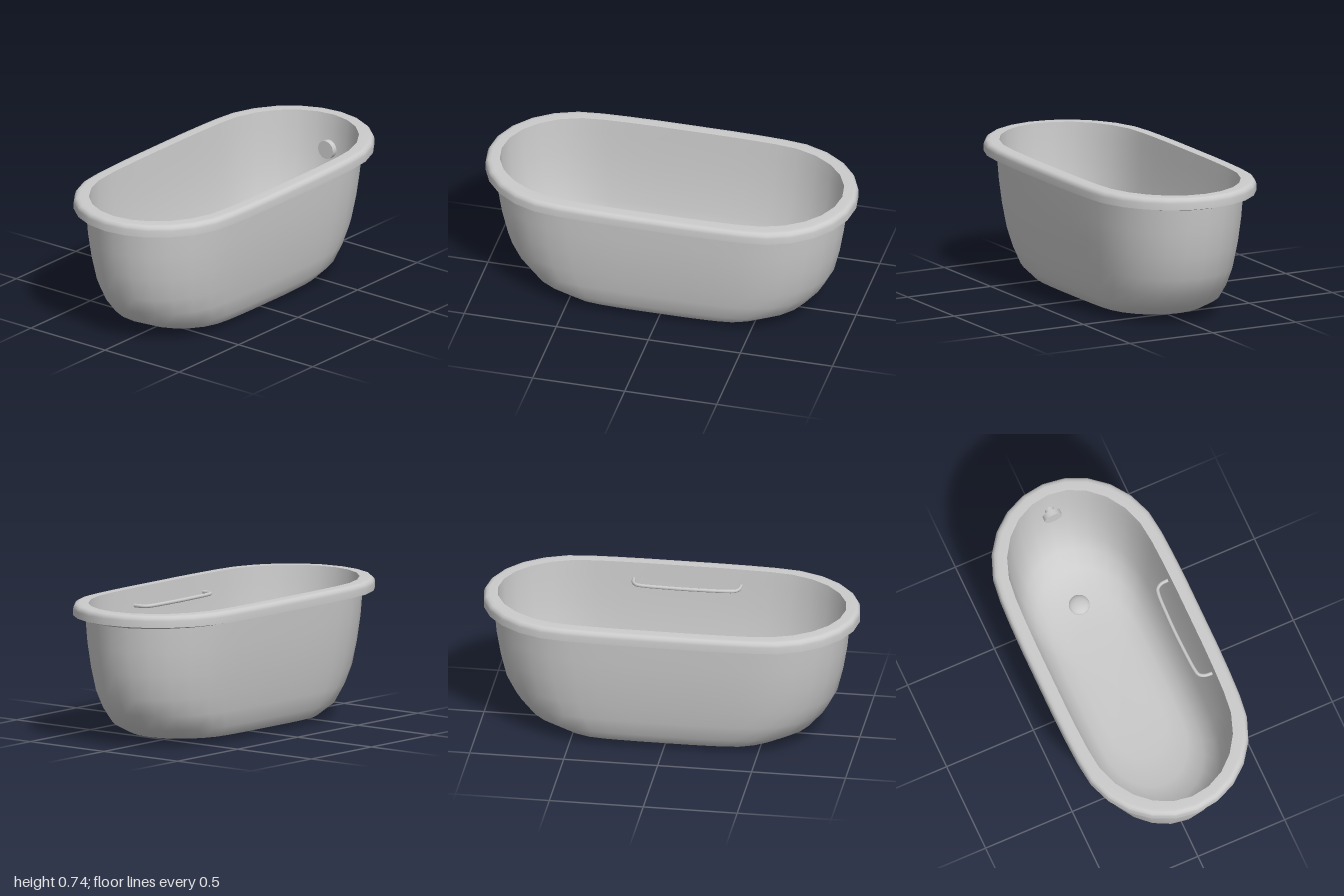
import * as THREE from 'three';

const material = new THREE.MeshStandardMaterial({ color: 0xcccccc });

// Quarter of the unit tub outline: round end, then a barely bowed side.
const quarter = [];
for (let i = 0; i <= 6; i++) {
  const t = (i / 6) * Math.PI / 2;
  quarter.push([0.5 + 0.5 * Math.cos(t), 0.98 * Math.sin(t)]);
}
quarter.push([0.36, 0.993], [0.2, 1], [0, 1]);

// Mirror the quarter into a closed loop running from +x towards +z.
const half = [...quarter, ...quarter.slice(0, -1).reverse().map(([x, z]) => [-x, z])];
const outline = [...half, ...half.slice(1, -1).reverse().map(([x, z]) => [x, -z])];

// Skin through outlines given as [half length, half width, height].
function loft(name, sections) {
  const n = outline.length;
  const positions = [];
  const index = [];
  sections.forEach(([a, b, y], i) => {
    outline.forEach(([x, z], j) => {
      positions.push(a * x, y, b * z);
      if (i === sections.length - 1) return;
      const p = i * n + j;
      const q = i * n + (j + 1) % n;
      index.push(p, p + n, q, q, p + n, q + n);
    });
  });
  const geometry = new THREE.BufferGeometry();
  geometry.setAttribute('position', new THREE.Float32BufferAttribute(positions, 3));
  geometry.setIndex(index);
  geometry.computeVertexNormals();
  return part(name, geometry);
}

function part(name, geometry, x = 0, y = 0, z = 0) {
  const mesh = new THREE.Mesh(geometry, material);
  mesh.name = name;
  mesh.position.set(x, y, z);
  return mesh;
}

export function createModel() {
  const tub = new THREE.Group();
  tub.name = 'bathtub';

  // Outer body, from the middle of the base up to the rim
  tub.add(loft('outerShell', [
    [0.002, 0.001, 0.002], [0.2, 0.1, 0.004], [0.44, 0.205, 0.011], [0.63, 0.29, 0.032],
    [0.756, 0.333, 0.09], [0.83, 0.352, 0.175], [0.88, 0.37, 0.27],
    [0.912, 0.388, 0.4], [0.934, 0.4, 0.53], [0.946, 0.408, 0.664],
  ]));

  // Rim: sloping underside, rolled outer band, flat top
  tub.add(loft('rimUnderside', [[0.943, 0.407, 0.66], [1, 0.475, 0.676]]));
  tub.add(loft('rimBand', [
    [1, 0.475, 0.676], [1, 0.475, 0.71], [0.996, 0.471, 0.725],
    [0.986, 0.461, 0.735], [0.97, 0.445, 0.738], [0.925, 0.4, 0.738],
  ]));

  // Inside surface, from the rim down to the middle of the floor
  tub.add(loft('basin', [
    [0.925, 0.4, 0.738], [0.92, 0.395, 0.66], [0.908, 0.387, 0.53], [0.886, 0.372, 0.4],
    [0.85, 0.352, 0.27], [0.795, 0.328, 0.18], [0.71, 0.287, 0.105],
    [0.58, 0.23, 0.06], [0.4, 0.16, 0.043], [0.2, 0.08, 0.037], [0.002, 0.001, 0.035],
  ]));

  // Domed drain plug on the floor
  const dome = new THREE.SphereGeometry(0.057, 24, 8, 0, Math.PI * 2, 0, Math.PI / 2);
  dome.scale(1, 0.45, 1);
  tub.add(part('drainPlug', dome, 0.525, 0.05, 0));

  // Overflow knob on the end wall
  const overflow = new THREE.Group();
  overflow.name = 'overflowKnob';
  const disc = new THREE.CylinderGeometry(0.05, 0.05, 0.03, 20).rotateZ(Math.PI / 2);
  const stem = new THREE.CylinderGeometry(0.025, 0.025, 0.05, 16).rotateZ(Math.PI / 2);
  overflow.add(part('overflowDisc', disc, 0.868, 0.56, 0), part('overflowStem', stem, 0.9, 0.56, 0));
  tub.add(overflow);

  // Grab rail along the front wall, with bent ends
  const railPath = new THREE.CatmullRomCurve3([
    [-0.308, 0.395], [-0.303, 0.35], [-0.285, 0.325], [-0.25, 0.317], [-0.13, 0.311],
    [-0.02, 0.309],
    [0.09, 0.311], [0.21, 0.317], [0.24, 0.325], [0.258, 0.35], [0.263, 0.395],
  ].map(([x, z]) => new THREE.Vector3(x, 0.645, z)));
  tub.add(part('grabRail', new THREE.TubeGeometry(railPath, 48, 0.01, 8)));

  return tub;
}
